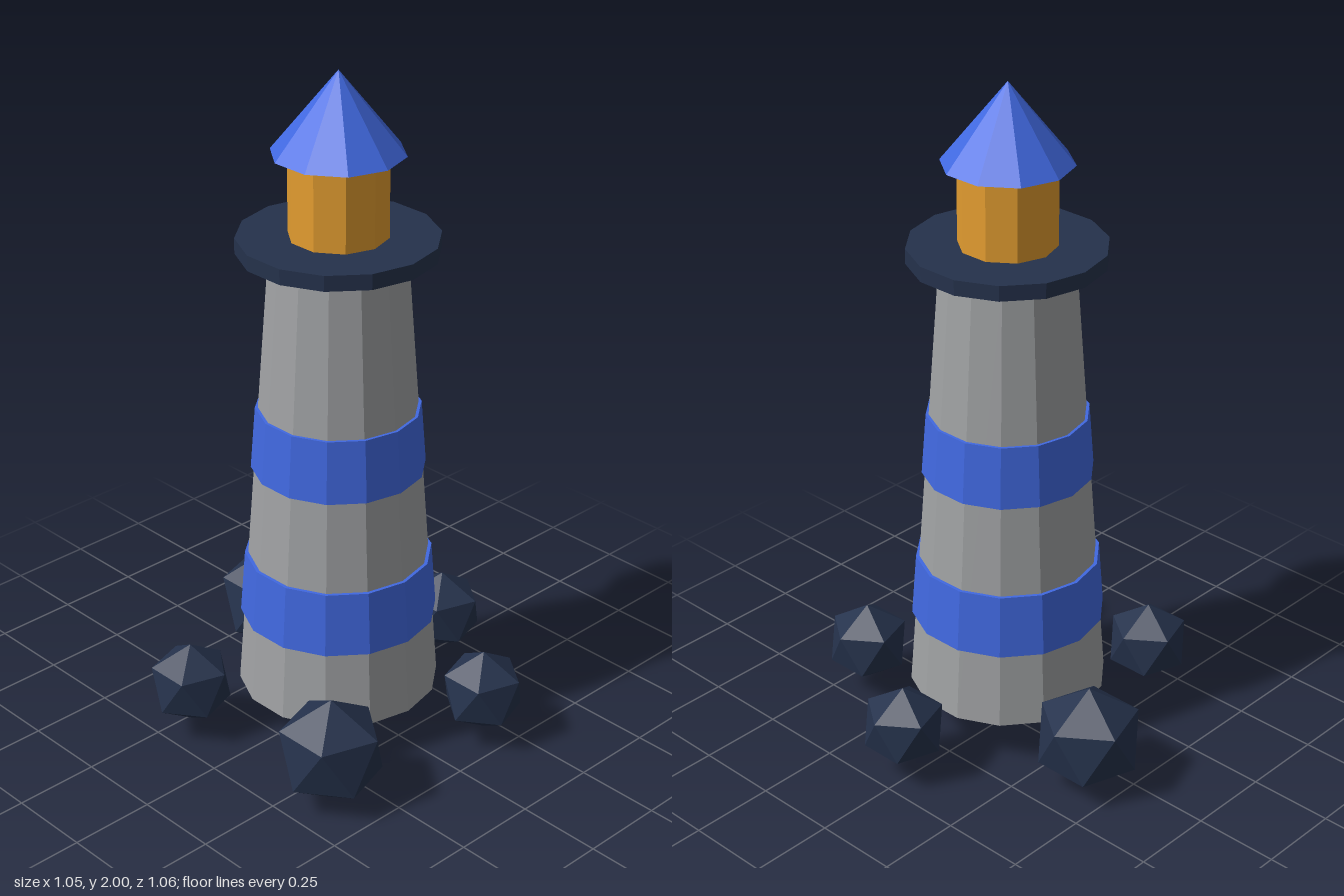
import * as THREE from 'three';

const flat = (name, color) => new THREE.MeshStandardMaterial({ name, color, flatShading: true });

export function createModel() {
  const stone = flat('stone grey', 0xa0a2a4);
  const blue = flat('royal blue', 0x4169e1);
  const navy = flat('dark navy', 0x25324c);
  const amber = flat('lamp amber', 0xe39d30);
  const black = flat('base black', 0x1c1c1c);

  const model = new THREE.Group();
  model.name = 'lighthouse';

  const building = new THREE.Group();
  building.name = 'building';
  building.position.set(-0.033, 0, 0.03);
  model.add(building);

  // Tapered ring section standing between two heights
  const section = (name, y0, y1, r0, r1, sides, material) => {
    const mesh = new THREE.Mesh(new THREE.CylinderGeometry(r1, r0, y1 - y0, sides), material);
    mesh.name = name;
    mesh.position.y = (y0 + y1) / 2;
    building.add(mesh);
  };

  // Tower: side, top and bottom materials
  const bottom = 0.138, top = 1.49;
  const towerRadius = y => THREE.MathUtils.mapLinear(y, bottom, top, 0.2915, 0.191);
  section('tower', bottom, top, towerRadius(bottom), towerRadius(top), 14, [stone, stone, black]);

  // Painted bands, slightly proud of the tower
  for (const [name, y0, y1] of [['lowerBand', 0.37, 0.56], ['upperBand', 0.837, 1.023]]) {
    section(name, y0, y1, towerRadius(y0) * 1.038, towerRadius(y1) * 1.038, 14, blue);
  }

  // Gallery, lamp room and roof
  section('gallery', 1.49, 1.535, 0.282, 0.282, 14, navy);
  section('lampRoom', 1.535, 1.77, 0.14, 0.14, 10, amber);
  const roof = new THREE.Mesh(new THREE.ConeGeometry(0.186, 0.23, 10), blue);
  roof.name = 'roof';
  roof.position.y = 1.885;
  building.add(roof);

  // Rocks: icosahedra turned so one corner points straight up
  const rockGeometry = new THREE.IcosahedronGeometry(1);
  rockGeometry.rotateZ(-Math.atan(2 / (1 + Math.sqrt(5))));
  const rocks = [
    [0.084, -0.396, 0.163],
    [-0.411, -0.197, 0.127],
    [0.408, 0.028, 0.127],
    [-0.352, 0.332, 0.163],
    [0.173, 0.42, 0.127],
  ];
  rocks.forEach(([x, z, r], i) => {
    const rock = new THREE.Mesh(rockGeometry, navy);
    rock.name = `rock${i + 1}`;
    rock.position.set(x, 0.165, z);
    rock.scale.setScalar(r);
    model.add(rock);
  });

  return model;
}
